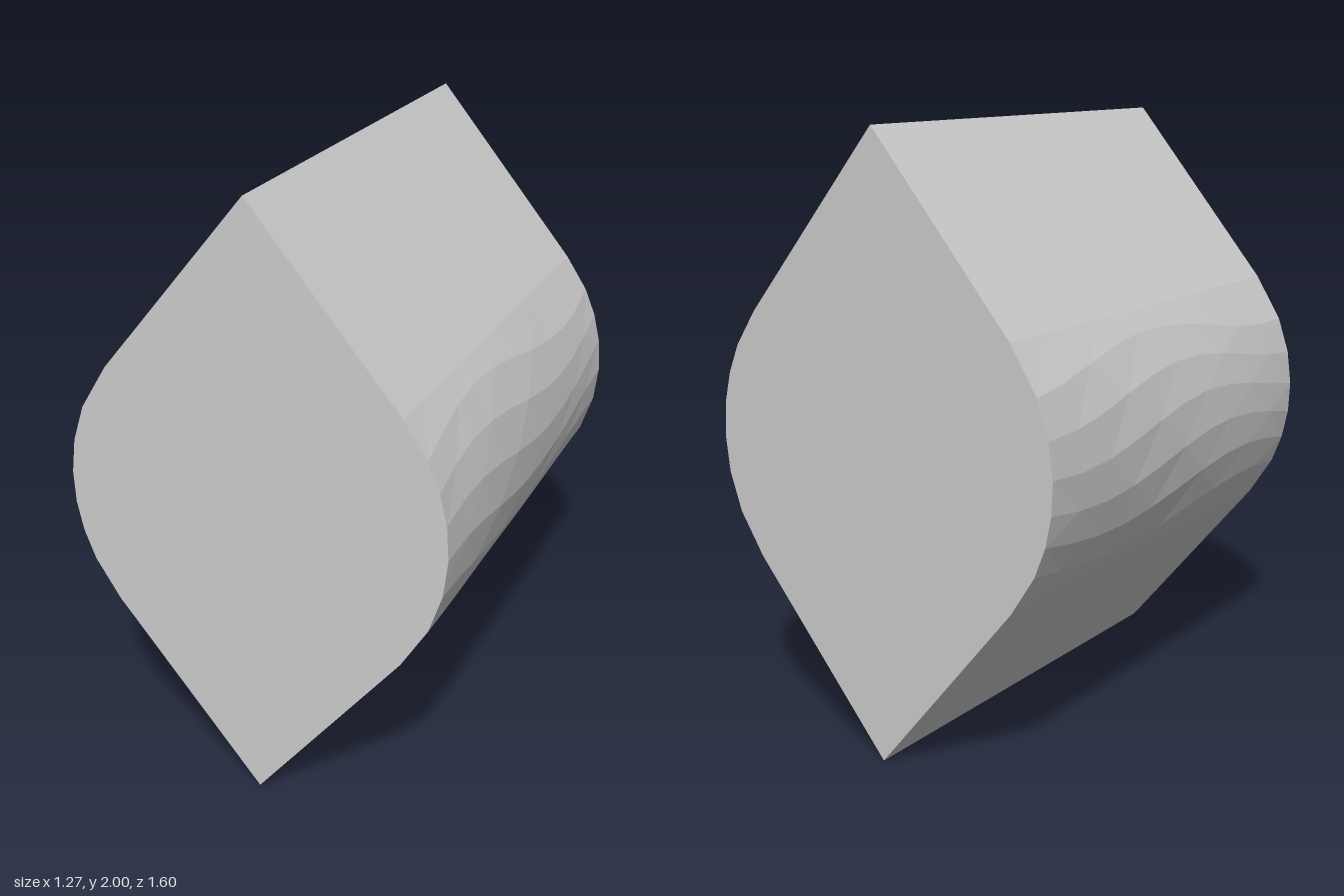
import * as THREE from 'three';

const RADIUS = 0.637;            // rounded flanks
const HALF_DEPTH = 0.8;
const TANGENT = Math.asin(RADIUS); // angle where the flat faces meet the round
const ARC = 7;                   // facets per flank
const ROWS = 10;                 // facet rows along the depth

// Pointed, round-sided outline, counter-clockwise from the bottom edge.
// The arc points drift along the arc from row to row, giving irregular facets.
function outline(row) {
  const flank = (phase) => {
    const pts = [];
    for (let i = 0; i <= ARC; i++) {
      const inner = i > 0 && i < ARC;
      const drift = inner ? 0.4 * Math.sin(row * 0.63 + phase + i * 0.5) : 0;
      const a = TANGENT * (2 * (i + drift) / ARC - 1);
      pts.push([RADIUS * Math.cos(a), 1 + RADIUS * Math.sin(a)]);
    }
    return pts;
  };
  const right = flank(0.4);
  const left = flank(2).reverse().map(([x, y]) => [-x, y]);
  return [[0, 0], ...right, [0, 2], ...left];
}

export function createModel() {
  const position = [];
  const index = [];
  const n = 2 * (ARC + 1) + 2;

  // Cross-sections from back to front
  for (let j = 0; j <= ROWS; j++) {
    const z = HALF_DEPTH * (2 * j / ROWS - 1);
    for (const [x, y] of outline(j)) position.push(x, y, z);
  }

  // Side skin, diagonals alternating
  for (let j = 0; j < ROWS; j++) {
    for (let i = 0; i < n; i++) {
      const k = (i + 1) % n;
      const a = j * n + i, b = j * n + k, c = b + n, d = a + n;
      if ((i + j) % 2) index.push(a, b, c, a, c, d);
      else index.push(a, b, d, b, c, d);
    }
  }

  // Flat back and front ends
  const f = ROWS * n;
  for (let i = 1; i < n - 1; i++) {
    index.push(0, i + 1, i);
    index.push(f, f + i, f + i + 1);
  }

  const indexed = new THREE.BufferGeometry();
  indexed.setAttribute('position', new THREE.Float32BufferAttribute(position, 3));
  indexed.setIndex(index);
  const geometry = indexed.toNonIndexed();
  geometry.computeVertexNormals();

  const body = new THREE.Mesh(
    geometry,
    new THREE.MeshStandardMaterial({ color: 0xcccccc, flatShading: true })
  );
  body.name = 'roundedPrismBody';

  const group = new THREE.Group();
  group.name = 'roundedPrism';
  group.add(body);
  return group;
}
